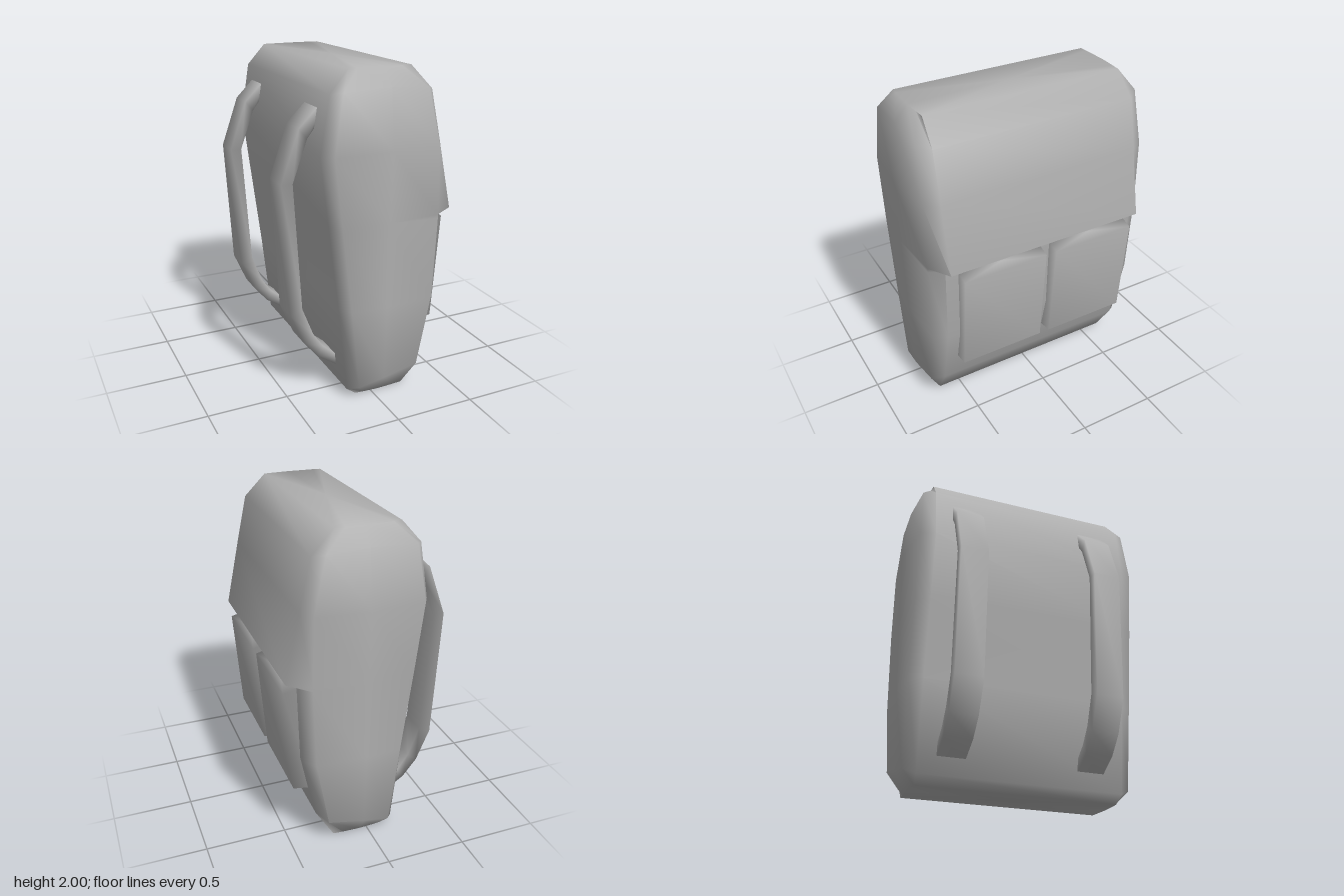
import * as THREE from 'three';
import { toCreasedNormals } from 'three/addons/utils/BufferGeometryUtils.js';

// Skin a list of equal rings from bottom to top and close both ends
function loft(rings) {
  const n = rings[0].length, pos = rings.flat(2), idx = [];
  for (let i = 0; i < rings.length - 1; i++) {
    for (let j = 0; j < n; j++) {
      const k = (j + 1) % n, a = i * n + j, b = i * n + k;
      idx.push(a, b, a + n, b, b + n, a + n);
    }
  }
  const cap = (ring, start, up) => {
    const c = pos.length / 3;
    pos.push(...[0, 1, 2].map(d => ring.reduce((s, p) => s + p[d], 0) / n));
    for (let j = 0; j < n; j++) {
      const a = start + j, b = start + (j + 1) % n;
      idx.push(c, up ? a : b, up ? b : a);
    }
  };
  cap(rings[0], 0, false);
  cap(rings[rings.length - 1], (rings.length - 1) * n, true);
  const g = new THREE.BufferGeometry();
  g.setAttribute('position', new THREE.Float32BufferAttribute(pos, 3));
  g.setIndex(idx);
  g.computeVertexNormals();
  return g;
}

// Four-cornered ring between a back point and a front point
const slab = (xb, yb, xf, yf, z0, z1, inset = 0) => [
  [xb, yb, z0], [xb, yb, z1], [xf, yf, z1 - inset], [xf, yf, z0 + inset],
];

// Ten-cornered ring of the bag: flat back and front, bevelled corners, peaked sides
function bagRing({ back, front, side, zEdge, zBevel, zMid, bevelFront }) {
  const [xb, yb] = back, [xf, yf] = front;
  const bf = bevelFront ?? xf - 0.06;
  const half = [
    [xb, yb, zEdge], [xb + 0.05, (yb + side) / 2, zBevel], [0.05, side, zMid],
    [bf, (yf + side) / 2, zBevel], [xf, yf, zEdge],
  ];
  const mirrored = half.map(([x, y, z]) => [x, y, -z]).reverse();
  return [...half, ...mirrored];
}

export function createModel() {
  const model = new THREE.Group();
  model.name = 'backpack';
  const grey = new THREE.MeshStandardMaterial({ color: 0xb0b0b0 });
  grey.name = 'grey cloth';
  const add = (name, geometry) => {
    const mesh = new THREE.Mesh(geometry, grey);
    mesh.name = name;
    model.add(mesh);
  };

  // Bag with the overhanging lid lip at y = 1.13
  const levels = [
    { back: [-0.1, 0], front: [0.22, 0], side: 0, zEdge: 0.64, zBevel: 0.645, zMid: 0.65 },
    { back: [-0.165, 0.05], front: [0.34, 0.2], side: 0.12, zEdge: 0.65, zBevel: 0.72, zMid: 0.73 },
    { back: [-0.225, 0.6], front: [0.42, 0.6], side: 0.6, zEdge: 0.65, zBevel: 0.73, zMid: 0.745 },
    { back: [-0.287, 1.1], front: [0.435, 1.11], side: 1.1, zEdge: 0.65, zBevel: 0.735, zMid: 0.758, bevelFront: 0.38 },
    { back: [-0.291, 1.13], front: [0.513, 1.13], side: 1.13, zEdge: 0.65, zBevel: 0.735, zMid: 0.759, bevelFront: 0.38 },
    { back: [-0.34, 1.53], front: [0.424, 1.55], side: 1.55, zEdge: 0.65, zBevel: 0.735, zMid: 0.77, bevelFront: 0.37 },
    { back: [-0.285, 1.87], front: [0.355, 1.86], side: 1.9, zEdge: 0.65, zBevel: 0.72, zMid: 0.73 },
    { back: [-0.17, 2], front: [0.22, 2], side: 2, zEdge: 0.64, zBevel: 0.645, zMid: 0.65 },
  ];
  add('bag', toCreasedNormals(loft(levels.map(bagRing)), 1.25));

  // Two front pockets
  [['leftPocket', -0.61, -0.05], ['rightPocket', 0.01, 0.57]].forEach(([name, z0, z1]) => {
    add(name, loft([
      slab(0.34, 0.37, 0.465, 0.387, z0, z1, 0.005),
      slab(0.38, 1.083, 0.515, 1.05, z0, z1, 0.005),
    ]));
  });

  // Two shoulder straps: outer and inner point of each section, bottom to top
  const strap = [
    [-0.14, 0.135, -0.16, 0.215], [-0.3, 0.24, -0.26, 0.3], [-0.39, 0.35, -0.33, 0.4],
    [-0.475, 0.55, -0.4, 0.58], [-0.52, 1.36, -0.45, 1.36], [-0.41, 1.67, -0.36, 1.61],
    [-0.25, 1.83, -0.26, 1.74],
  ];
  [['leftStrap', -0.452], ['rightStrap', 0.433]].forEach(([name, z]) => {
    add(name, loft(strap.map(p => slab(...p, z - 0.0875, z + 0.0875))));
  });

  return model;
}
